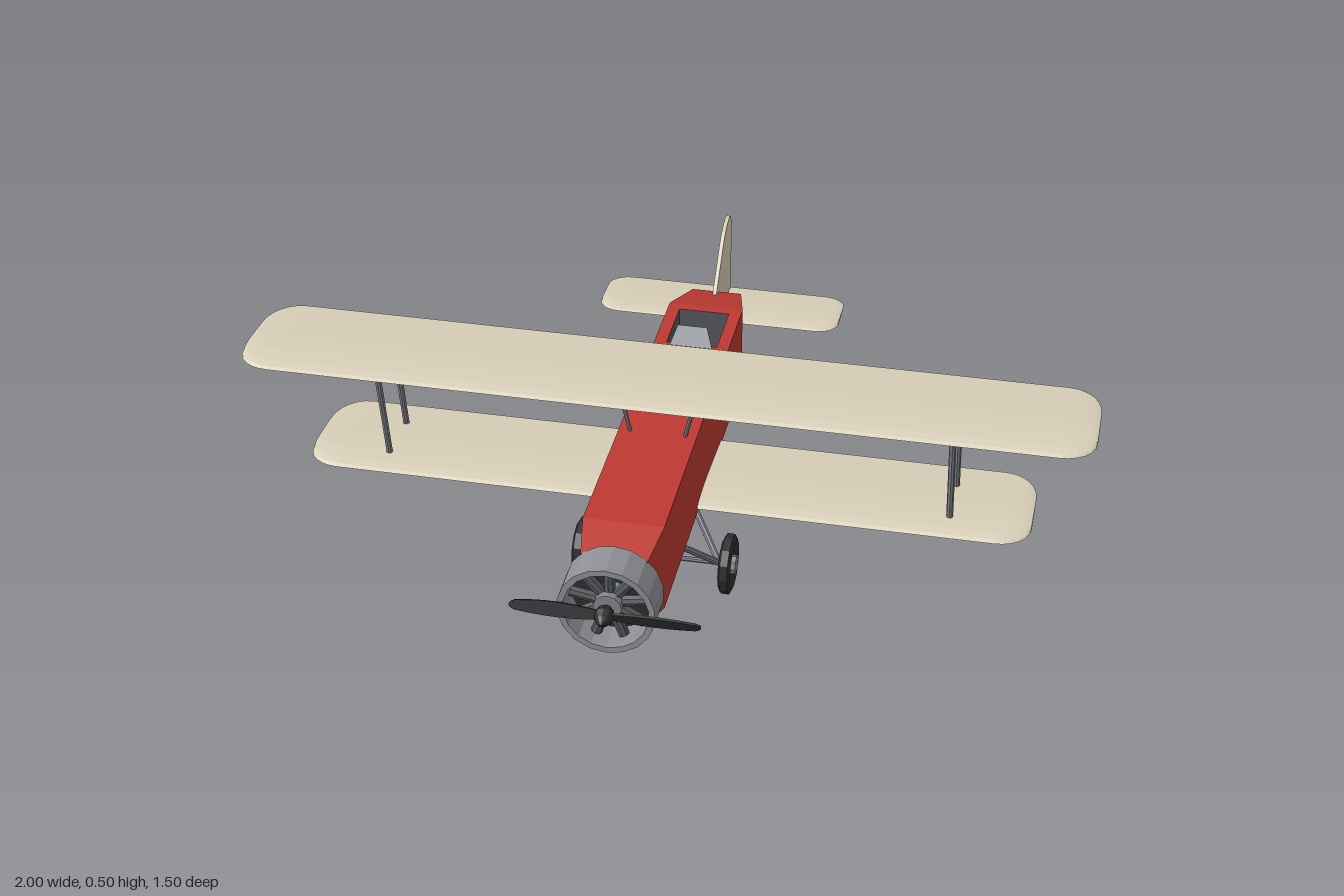
import * as THREE from 'three';

const V = (x, y, z) => new THREE.Vector3(x, y, z);
const mat = (color, side = THREE.FrontSide) => new THREE.MeshStandardMaterial({ color, side, flatShading: true });
const RED = mat(0xbe3a32), CREAM = mat(0xd8cfb8), DARK = mat(0x2c2e30), STEEL = mat(0x85888d);
const COWL = mat(0x8e9095, THREE.DoubleSide), GLASS = mat(0xa4a8ad, THREE.DoubleSide);
const TUB = mat(0x55585c, THREE.BackSide);

function add(parent, name, geometry, material) {
  const mesh = new THREE.Mesh(geometry, material);
  mesh.name = name;
  parent.add(mesh);
  return mesh;
}

// Skin between closed rings of points, capped at both ends
function loft(rings, skip = () => false) {
  const n = rings[0].length, index = [];
  for (let i = 0; i < rings.length - 1; i++) {
    for (let j = 0; j < n; j++) {
      if (skip(i, j)) continue;
      const a = i * n + j, b = i * n + (j + 1) % n;
      index.push(a, b, a + n, b, b + n, a + n);
    }
  }
  const last = (rings.length - 1) * n;
  for (let j = 1; j < n - 1; j++) index.push(0, j + 1, j, last, last + j, last + j + 1);
  const g = new THREE.BufferGeometry().setFromPoints(rings.flat());
  g.setIndex(index);
  g.computeVertexNormals();
  return g;
}

// Round bar between two points
function bar(parent, name, a, b, r, material = STEEL) {
  const mesh = add(parent, name, new THREE.CylinderGeometry(r, r, a.distanceTo(b), 8), material);
  mesh.position.copy(a).add(b).multiplyScalar(0.5);
  mesh.quaternion.setFromUnitVectors(V(0, 1, 0), b.clone().sub(a).normalize());
}

// Section as [chord fraction from trailing edge, thickness fraction]
const AIRFOIL = [[0, 0.3], [0.3, 0.65], [0.55, 0.92], [0.75, 1], [0.9, 0.85], [0.97, 0.62], [1, 0.4],
  [0.95, 0.12], [0.8, 0], [0.4, 0.05]];

// Wing with rounded tips
function wing(span, back, front, y, thick, corner, lead, trail) {
  const stations = [];
  for (let k = 0; k <= 6; k++) {
    const t = k / 6 * Math.PI / 2;
    stations.push({ x: span - corner + corner * Math.sin(t), c: 1 - Math.cos(t) });
  }
  const all = [...stations.slice().reverse().map(s => ({ x: -s.x, c: s.c })), ...stations];
  return loft(all.map(({ x, c }) => {
    const z0 = back + trail * c, z1 = front - lead * c, h = thick * (1 - 0.5 * c);
    return AIRFOIL.map(([u, v]) => V(x, y + thick * 0.4 + (v - 0.4) * h, z0 + u * (z1 - z0)));
  }));
}

const COCKPITS = [[-0.19, -0.03], [-0.41, -0.25]];

function buildFuselage(group) {
  // [z, half width, bottom, top]
  const sections = [[-0.705, 0.02, 0.265, 0.277], [-0.58, 0.062, 0.226, 0.36], [-0.435, 0.092, 0.18, 0.4],
    [0.515, 0.092, 0.18, 0.4], [0.612, 0.075, 0.207, 0.373]];
  const rings = sections.map(([z, w, b, t]) => [V(w, b, z), V(w, t, z), V(-w, t, z), V(-w, b, z)]);
  add(group, 'fuselage', loft(rings, (i, j) => i === 2 && j === 1), RED);

  // Deck with cockpit openings
  const rect = (Type, w, z0, z1) => new Type([[-w, -z1], [w, -z1], [w, -z0], [-w, -z0]].map(p => new THREE.Vector2(...p)));
  const deck = rect(THREE.Shape, 0.092, -0.435, 0.515);
  for (const [z0, z1] of COCKPITS) deck.holes.push(rect(THREE.Path, 0.062, z0, z1));
  add(group, 'topDeck', new THREE.ShapeGeometry(deck).rotateX(-Math.PI / 2), RED).position.y = 0.4;

  for (const [z0, z1] of COCKPITS) {
    const tub = add(group, 'cockpitTub', new THREE.BoxGeometry(0.124, 0.11, z1 - z0), TUB);
    tub.position.set(0, 0.345, (z0 + z1) / 2);
    // Leaning windscreen
    const pane = new THREE.Shape([[-0.052, 0], [0.052, 0], [0.036, 0.05], [-0.036, 0.05]].map(p => new THREE.Vector2(...p)));
    const screen = add(group, 'windscreen',
      new THREE.ExtrudeGeometry(pane, { depth: 0.003, bevelEnabled: false }), GLASS);
    screen.position.set(0, 0.399, z1 + 0.008);
    screen.rotation.x = -0.42;
  }
}

function buildNose(group) {
  const nose = new THREE.Group();
  nose.name = 'engineAndPropeller';
  nose.position.set(0, 0.29, 0);
  group.add(nose);
  const profile = [[0, 0.607], [0.11, 0.607], [0.11, 0.7], [0.096, 0.7], [0.094, 0.625], [0, 0.625]];
  add(nose, 'cowling', new THREE.LatheGeometry(profile.map(p => new THREE.Vector2(...p)), 18).rotateX(Math.PI / 2), COWL);
  const back = add(nose, 'enginePlate', new THREE.CircleGeometry(0.094, 18), DARK);
  back.position.z = 0.627;
  const crank = add(nose, 'crankcase', new THREE.CylinderGeometry(0.032, 0.032, 0.06, 12).rotateX(Math.PI / 2), STEEL);
  crank.position.z = 0.655;
  for (let i = 0; i < 9; i++) {
    const a = i / 9 * Math.PI * 2 + Math.PI / 2;
    const dir = V(Math.cos(a), Math.sin(a), 0);
    const at = r => dir.clone().multiplyScalar(r).setZ(0.658);
    bar(nose, 'engineCylinder', at(0.02), at(0.09), 0.013, mat(0x55585c));
  }
  bar(nose, 'propellerShaft', V(0, 0, 0.66), V(0, 0, 0.72), 0.01);

  // Two pitched blades
  const outline = new THREE.Shape();
  outline.moveTo(0, -0.008);
  outline.quadraticCurveTo(0.1, -0.026, 0.2, -0.012);
  outline.quadraticCurveTo(0.226, 0, 0.2, 0.01);
  outline.quadraticCurveTo(0.1, 0.022, 0, 0.008);
  for (let i = 0; i < 2; i++) {
    const blade = new THREE.ExtrudeGeometry(outline, { depth: 0.006, bevelEnabled: false, curveSegments: 6 });
    blade.translate(0, 0, -0.003).rotateX(0.35).rotateZ(i * Math.PI);
    add(nose, 'propellerBlade', blade, DARK).position.z = 0.713;
  }
  const spin = [[0, 0.7], [0.02, 0.7], [0.023, 0.717], [0.015, 0.735], [0, 0.75]];
  add(nose, 'spinner', new THREE.LatheGeometry(spin.map(p => new THREE.Vector2(...p)), 10).rotateX(Math.PI / 2),
    mat(0x2c2e30, THREE.DoubleSide));
}

function buildTail(group) {
  add(group, 'tailplane', wing(0.308, -0.748, -0.568, 0.274, 0.014, 0.055, 0.045, 0.045), CREAM);
  const fin = new THREE.Shape();
  fin.moveTo(-0.53, 0.34);
  fin.lineTo(-0.55, 0.375);
  fin.lineTo(-0.64, 0.467);
  fin.quadraticCurveTo(-0.675, 0.5, -0.72, 0.5);
  fin.quadraticCurveTo(-0.748, 0.5, -0.75, 0.44);
  fin.lineTo(-0.747, 0.27);
  fin.lineTo(-0.69, 0.27);
  const g = new THREE.ExtrudeGeometry(fin, { depth: 0.01, bevelEnabled: false, curveSegments: 6 });
  add(group, 'tailFin', g.translate(0, 0, -0.005).rotateY(-Math.PI / 2), CREAM);
  const skid = new THREE.CatmullRomCurve3([V(0, 0.25, -0.62), V(0, 0.222, -0.653), V(0, 0.206, -0.668), V(0, 0.205, -0.692)]);
  add(group, 'tailSkid', new THREE.TubeGeometry(skid, 10, 0.006, 6), STEEL);
}

function buildWings(group) {
  add(group, 'upperWing', wing(1, -0.1, 0.203, 0.48, 0.022, 0.08, 0.07, 0.1), CREAM);
  add(group, 'lowerWing', wing(0.868, -0.16, 0.143, 0.186, 0.022, 0.08, 0.07, 0.1), CREAM);
  for (const s of [-1, 1]) {
    for (const z of [0.13, -0.01]) {
      bar(group, 'wingStrut', V(s * 0.677, 0.195, z - 0.062), V(s * 0.677, 0.488, z), 0.008);
    }
    // Struts holding the upper wing above the fuselage
    for (const z of [0.15, -0.012]) bar(group, 'centreStrut', V(s * 0.064, 0.395, z), V(s * 0.085, 0.488, z), 0.005);
    bar(group, 'centreBrace', V(s * 0.064, 0.398, -0.012), V(s * 0.085, 0.485, 0.15), 0.005);
  }
}

function buildLandingGear(group) {
  const axle = (x) => V(x, 0.075, 0.18);
  bar(group, 'axle', axle(-0.19), axle(0.19), 0.006);
  for (const s of [-1, 1]) {
    for (const z of [0.28, 0.08]) bar(group, 'gearLeg', V(s * 0.06, 0.19, z), axle(s * 0.153), 0.008);
    const tyre = [[0.045, -0.008], [0.06, -0.015], [0.072, -0.009], [0.072, 0.009], [0.06, 0.015], [0.045, 0.008], [0, 0.008]];
    tyre.unshift([0, -0.008]);
    const g = new THREE.LatheGeometry(tyre.map(p => new THREE.Vector2(...p)), 12).rotateZ(Math.PI / 2);
    add(group, 'wheel', g, mat(0x2c2e30, THREE.DoubleSide)).position.copy(axle(s * 0.175));
    bar(group, 'wheelHub', axle(s * 0.155), axle(s * 0.195), 0.023);
  }
}

export function createModel() {
  const group = new THREE.Group();
  group.name = 'biplane';
  buildFuselage(group);
  buildNose(group);
  buildWings(group);
  buildTail(group);
  buildLandingGear(group);
  // The tub tops lie just under the deck: leave them open by dropping the top face
  group.traverse(o => {
    if (o.name !== 'cockpitTub') return;
    const index = Array.from(o.geometry.index.array);
    index.splice(12, 6);
    o.geometry.setIndex(index);
  });
  return group;
}
